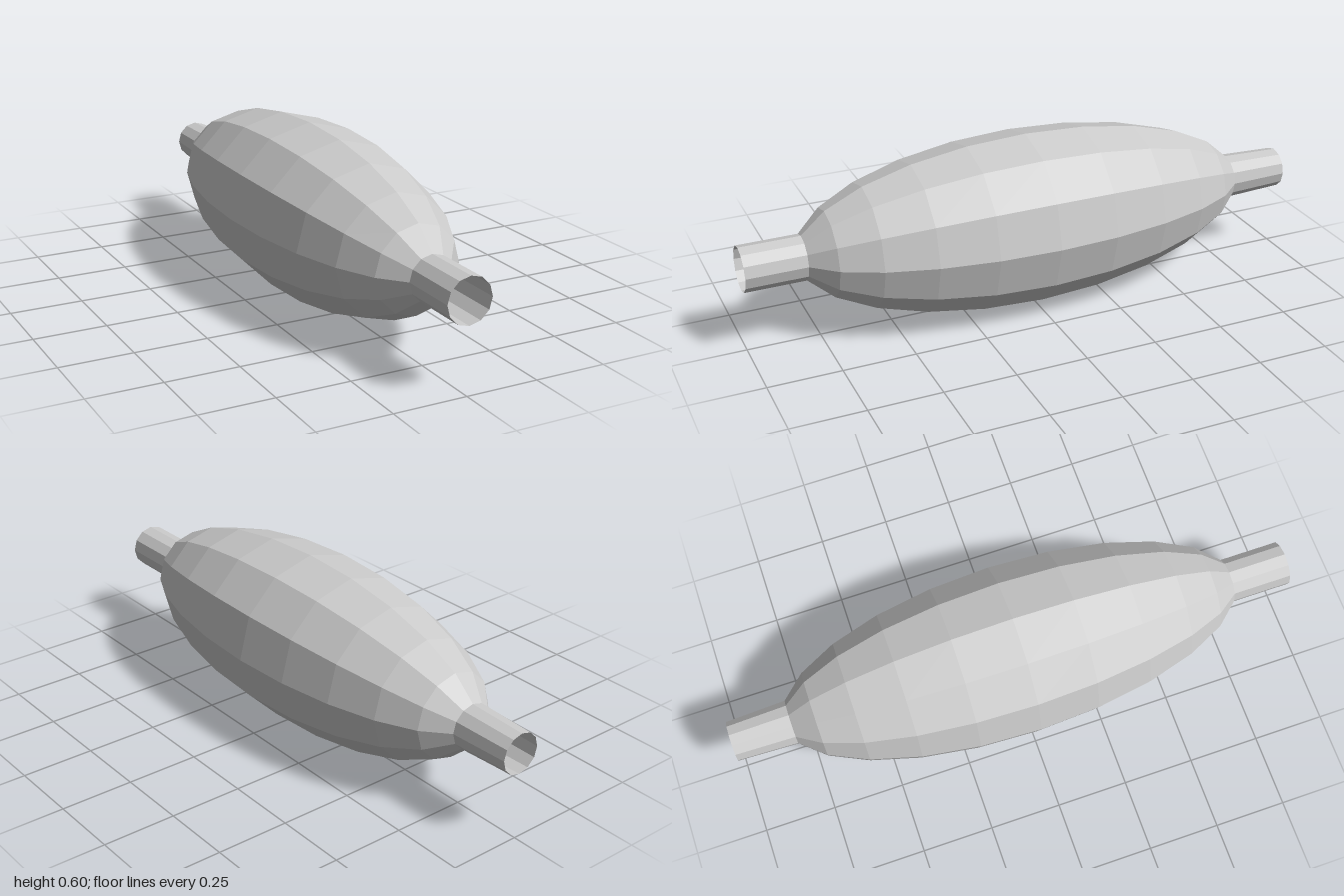
import * as THREE from 'three';

const SIDES = 12;
const HALF_LENGTH = 0.82; // length of the full ellipsoid before its tips are cut off
const RADIUS = 0.3;

export function createModel() {
  const model = new THREE.Group();
  const material = new THREE.MeshStandardMaterial({
    color: 0xcccccc, flatShading: true, side: THREE.DoubleSide,
  });

  // Revolves [radius, z] pairs, listed back to front, around the long axis
  function addRevolved(name, profile) {
    const points = profile.map(([r, z]) => new THREE.Vector2(r, z));
    const geometry = new THREE.LatheGeometry(points, SIDES);
    geometry.rotateX(Math.PI / 2);
    const mesh = new THREE.Mesh(geometry, material);
    mesh.name = name;
    mesh.position.y = RADIUS;
    model.add(mesh);
  }

  // Ellipsoid body, a ring every 15 degrees, open where the pipes join
  const rings = [];
  for (let degrees = -75; degrees <= 75; degrees += 15) {
    const a = THREE.MathUtils.degToRad(degrees);
    rings.push([RADIUS * Math.cos(a), HALF_LENGTH * Math.sin(a)]);
  }
  addRevolved('body', rings);

  // Open pipes: the front one straight, the back one slightly tapered
  const [joinRadius, joinZ] = rings[rings.length - 1];
  addRevolved('frontPipe', [[joinRadius, joinZ], [joinRadius, 1]]);
  addRevolved('backPipe', [[0.07, -1], [joinRadius, -joinZ]]);

  return model;
}
